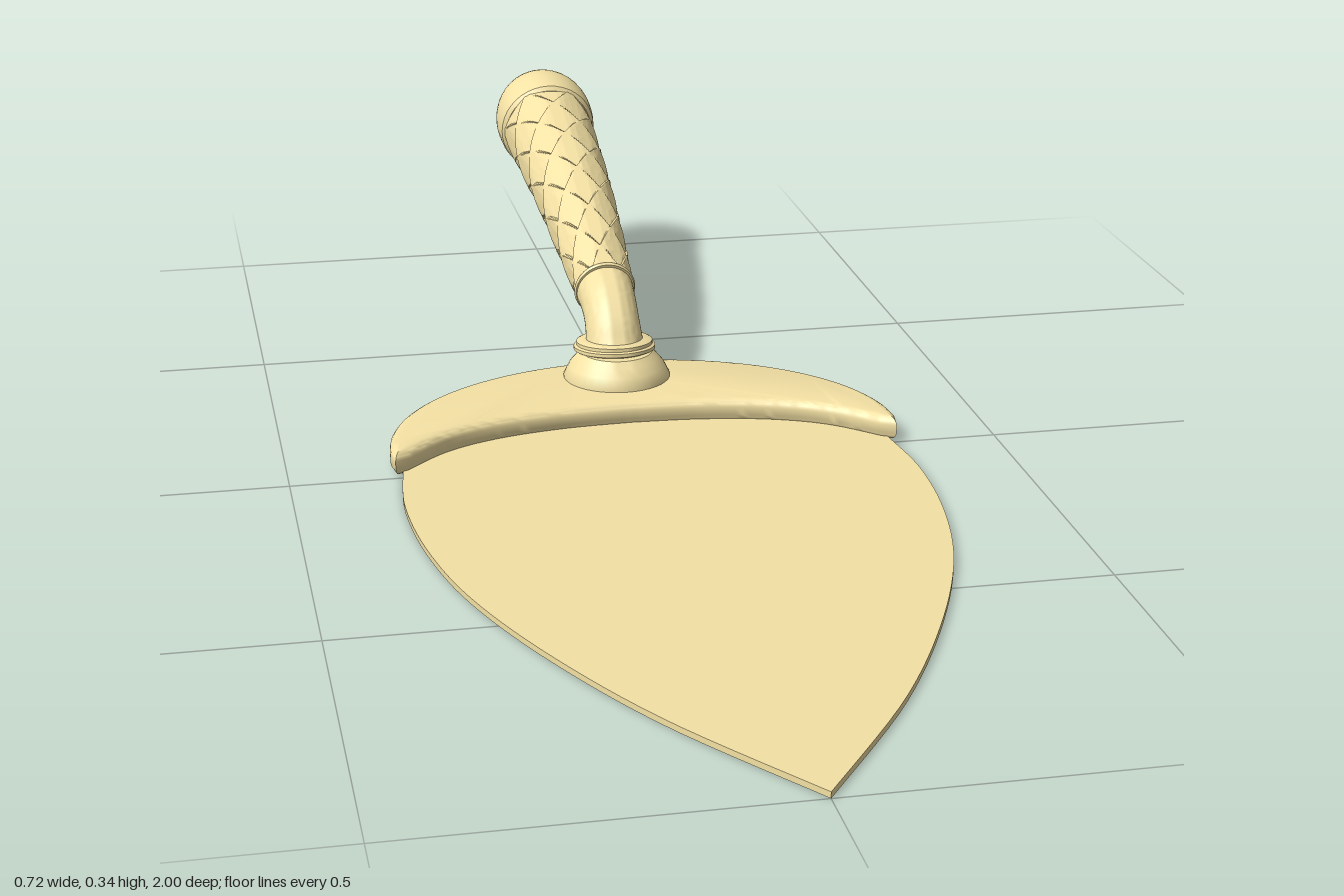
import * as THREE from 'three';
import { toCreasedNormals } from 'three/addons/utils/BufferGeometryUtils.js';

const material = new THREE.MeshStandardMaterial({ color: 0xf4e1a4 });

function part(name, geometry) {
  const mesh = new THREE.Mesh(geometry, material);
  mesh.name = name;
  return mesh;
}

// Rounded back edge from the middle (0, -depth) out to (width, side)
function backArc(width, depth, side) {
  return Array.from({ length: 9 }, (_, i) => {
    const a = i / 8 * Math.PI / 2;
    return [width * Math.sin(a), side - (depth + side) * Math.cos(a)];
  });
}

// Closed outline from half profiles (x >= 0) that are mirrored over x = 0
function mirroredShape(...halves) {
  const right = halves.flatMap((half, i) => {
    const pts = new THREE.SplineCurve(half.map(p => new THREE.Vector2(...p))).getPoints(40);
    return i ? pts.slice(1) : pts;
  });
  const left = right.slice(1, -1).reverse().map(p => new THREE.Vector2(-p.x, p.y));
  return new THREE.Shape([...right, ...left]);
}

// Horizontal plate whose highest face is at y = top
function plate(shape, top, depth, bevel, size) {
  const geo = new THREE.ExtrudeGeometry(shape, {
    depth, bevelEnabled: bevel > 0, bevelThickness: bevel, bevelSize: size, bevelSegments: 4,
  });
  geo.rotateX(Math.PI / 2).translate(0, top - bevel, 0);
  return toCreasedNormals(geo, 0.7);
}

// Curve in the yz plane
const pathYZ = points => new THREE.CatmullRomCurve3(points.map(([y, z]) => new THREE.Vector3(0, y, z)));

// Round section swept along a path in the yz plane; radius(u, t) with u around, t along
function sweep(path, radius, around, along) {
  const pos = [], index = [];
  for (let i = 0; i <= along; i++) {
    const t = i / along, c = path.getPoint(t), d = path.getTangent(t);
    for (let j = 0; j <= around; j++) {
      const u = j / around, a = u * Math.PI * 2, r = radius(u, t);
      pos.push(r * Math.cos(a), c.y - r * Math.sin(a) * d.z, c.z + r * Math.sin(a) * d.y);
      if (i < along && j < around) {
        const k = i * (around + 1) + j, n = k + around + 1;
        index.push(k, n, k + 1, k + 1, n, n + 1);
      }
    }
  }
  const geo = new THREE.BufferGeometry();
  geo.setAttribute('position', new THREE.Float32BufferAttribute(pos, 3));
  geo.setIndex(index);
  return toCreasedNormals(geo, 0.5);
}

function lathe(points) {
  const geo = new THREE.LatheGeometry(points.map(p => new THREE.Vector2(...p)), 40);
  return toCreasedNormals(geo, 0.6);
}

export function createModel() {
  const model = new THREE.Group();
  model.name = 'trowel';

  // Thin leaf-shaped blade, running on under the collar
  const bladeShape = mirroredShape(
    backArc(0.345, 0.305, 0),
    [[0.345, 0], [0.356, 0.12], [0.345, 0.27], [0.31, 0.43], [0.24, 0.61], [0.14, 0.8], [0, 1]]);
  model.add(part('blade', plate(bladeShape, 0.008, 0.008, 0, 0)));

  // Crescent collar with rounded rim
  const collarShape = mirroredShape(
    backArc(0.347, 0.305, -0.012),
    [[0.347, -0.012], [0.28, -0.074], [0.2, -0.112], [0.1, -0.133], [0, -0.139]]);
  model.add(part('collar', plate(collarShape, 0.038, 0.011, 0.012, 0.013)));

  // Flared foot of the neck
  const foot = part('neckFoot', lathe([[0.078, 0], [0.078, 0.006], [0.07, 0.022], [0.06, 0.034],
    [0.052, 0.042], [0, 0.042]]));
  foot.position.set(0, 0.034, -0.25);
  model.add(foot);

  // Stepped ring above the foot
  const ring = part('neckRing', lathe([[0, 0], [0.054, 0], [0.06, 0.003], [0.06, 0.008], [0.056, 0.01],
    [0.056, 0.015], [0.052, 0.017], [0.04, 0.018]]));
  ring.position.set(0, 0.071, -0.267);
  ring.rotation.x = -0.08;
  model.add(ring);

  // Bent neck
  const neckPath = pathYZ([[0.07, -0.262], [0.1, -0.278], [0.126, -0.31], [0.143, -0.365]]);
  model.add(part('neck', sweep(neckPath, (u, t) => 0.044 - 0.004 * Math.sin(t * Math.PI), 40, 24)));

  // Slightly arched grip covered in overlapping diamond scales
  const grip = pathYZ([[0.14, -0.345], [0.207, -0.6], [0.251, -0.87]]);
  const COLUMNS = 6, ROWS = 5;
  const fract = v => v - Math.floor(v + 1e-6);
  const scaled = (u, t) => {
    const lift = Math.max(fract(t * ROWS + u * COLUMNS), fract(t * ROWS - u * COLUMNS));
    return 0.038 + 0.029 * Math.pow(t, 0.85) + 0.006 * lift;
  };
  model.add(part('scaledGrip', sweep(grip, scaled, 144, 120)));

  // Fittings centred on the grip path
  const onGrip = (mesh, t) => {
    mesh.quaternion.setFromUnitVectors(new THREE.Vector3(0, 1, 0), grip.getTangent(t));
    mesh.position.copy(grip.getPoint(t));
    model.add(mesh);
  };
  onGrip(part('gripBand', lathe([[0.036, -0.004], [0.044, -0.004], [0.046, 0], [0.044, 0.005], [0.036, 0.005]])), 0);

  // Domed end cap
  const dome = [[0, -0.014], [0.07, -0.014], [0.076, -0.008], [0.078, 0.004]];
  for (let i = 0; i <= 12; i++) {
    const a = i / 12 * Math.PI / 2;
    dome.push([0.079 * Math.cos(a), 0.028 + 0.103 * Math.sin(a)]);
  }
  onGrip(part('endCap', lathe(dome)), 1);

  return model;
}
